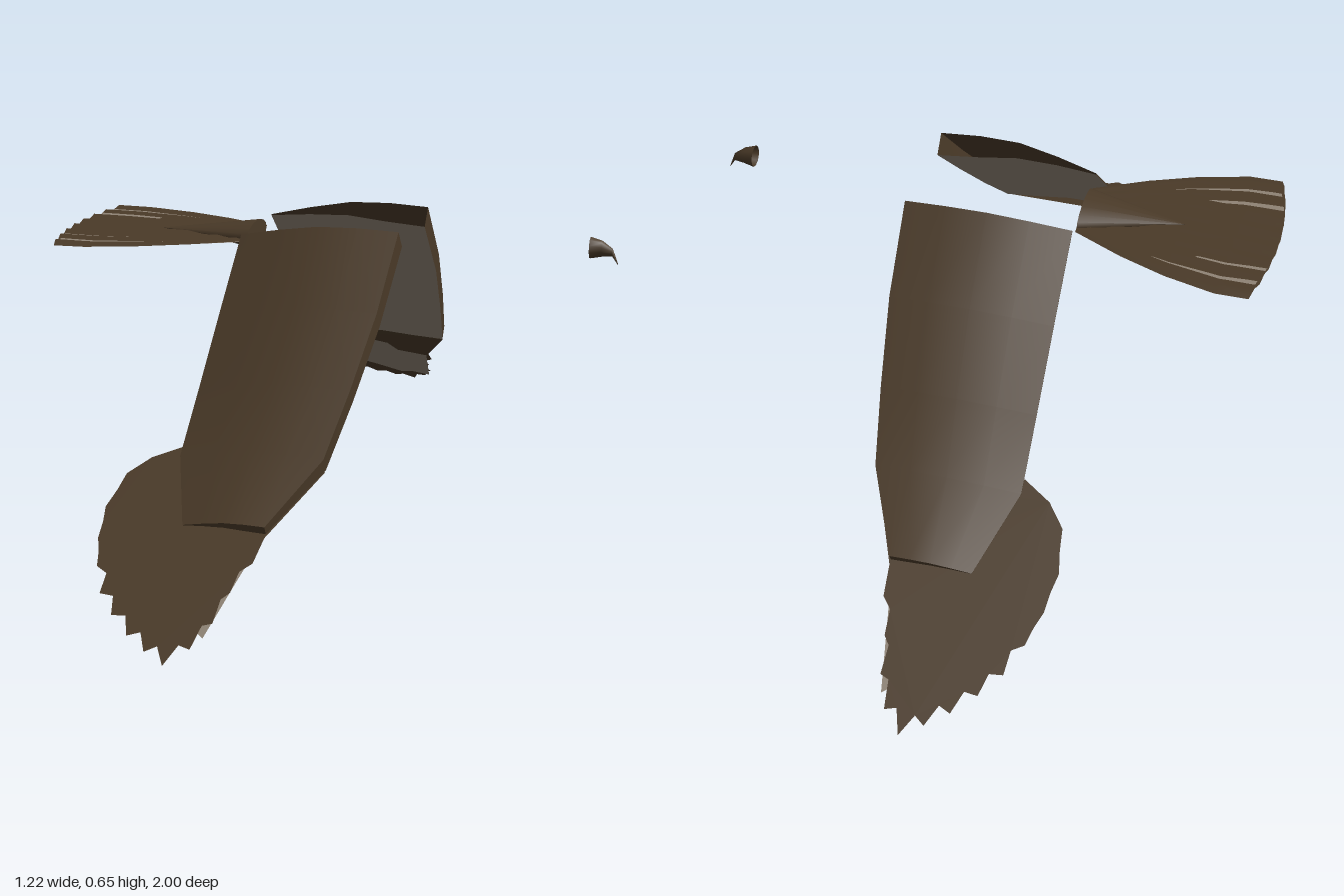
import * as THREE from 'three';

const brown = new THREE.MeshStandardMaterial({ name: 'brownPlumage', color: 0x4a3a28, side: THREE.DoubleSide });
const grey = new THREE.MeshStandardMaterial({ name: 'paleGreyUnderside', color: 0x8f8375, side: THREE.DoubleSide });

// Skin a surface through rows of points; closed rows wrap round
function loft(rows, closed = false) {
  const n = rows[0].length, index = [];
  for (let i = 0; i < rows.length - 1; i++) {
    for (let j = 0; j < (closed ? n : n - 1); j++) {
      const a = i * n + j, b = i * n + (j + 1) % n;
      index.push(a, b, a + n, b, b + n, a + n);
    }
  }
  const g = new THREE.BufferGeometry();
  g.setAttribute('position', new THREE.Float32BufferAttribute(rows.flat(2), 3));
  g.setIndex(index);
  g.computeVertexNormals();
  return g;
}

function add(parent, name, geometry, material) {
  const mesh = new THREE.Mesh(geometry, material);
  mesh.name = name;
  parent.add(mesh);
  return mesh;
}

// Flat plate from an (x, z) outline lying on the sloping hand plane
function handPlate(outline, drop) {
  const g = new THREE.ShapeGeometry(new THREE.Shape(outline.map(([x, z]) => new THREE.Vector2(x, z))));
  const p = g.attributes.position;
  for (let i = 0; i < p.count; i++) {
    const z = p.getY(i);
    p.setXYZ(i, p.getX(i), 0.158 - 0.51 * (z - 0.69) - drop, z);
  }
  g.computeVertexNormals();
  return g;
}

function makeWing(name) {
  const wing = new THREE.Group();
  wing.name = name;

  // Arm stations: z, y, leading x, trailing x, thickness, normal z, normal y
  const stations = [
    [0.105, 0.61, 0.165, -0.19, 0.052, 0.64, 0.77],
    [0.26, 0.475, 0.157, -0.19, 0.045, 0.64, 0.77],
    [0.40, 0.35, 0.137, -0.19, 0.04, 0.64, 0.77],
    [0.525, 0.242, 0.115, -0.19, 0.035, 0.56, 0.83],
    [0.69, 0.158, 0.04, -0.13, 0.02, 0.46, 0.89],
  ];
  const topCurve = [0.95, 1.05, 1, 0.65, 0.2];
  const underCurve = [0, 0.15, 0.35, 0.3, 0.15];
  const row = ([z, y, lead, trail, thick, nz, ny], curve) => curve.map((h, i) =>
    [lead + (trail - lead) * i / 4, y + h * thick * ny, z + h * thick * nz]);
  const tops = stations.map(s => row(s, topCurve));
  const unders = stations.map(s => row(s, underCurve));
  add(wing, 'wingTop', loft(tops), brown);
  add(wing, 'wingUnderside', loft(unders.slice(0, 4)), grey);
  add(wing, 'leadingEdge', loft(stations.map((s, i) => [unders[i][0], tops[i][0]])), brown);
  add(wing, 'trailingEdge', loft(stations.map((s, i) => [tops[i][4], unders[i][4]])), brown);
  add(wing, 'wristEnd', loft([tops[4], unders[4]]), brown);

  // Fan of flight feathers with a notch between neighbouring tips
  const tips = [[0.035, 0.76], [0.012, 0.83], [0, 0.9], [-0.025, 0.96], [-0.065, 1], [-0.11, 0.975],
    [-0.155, 0.945], [-0.2, 0.905], [-0.24, 0.86], [-0.268, 0.8], [-0.29, 0.735], [-0.302, 0.66], [-0.288, 0.575]];
  const outline = [[0.115, 0.53], [0.04, 0.70]];
  tips.forEach(([x, z], i) => {
    outline.push([x, z]);
    const next = tips[i + 1];
    if (!next) return;
    const pull = i < 9 ? 0.07 : 0.01;
    const mx = (x + next[0]) / 2, mz = (z + next[1]) / 2;
    outline.push([mx + (-0.1 - mx) * pull, mz + (0.6 - mz) * pull]);
  });
  outline.push([-0.25, 0.53], [-0.19, 0.495]);
  add(wing, 'flightFeathers', handPlate(outline, 0), brown);

  // Pale patch beneath the feathers
  const patch = [[-0.01, 0.93], [0.015, 0.8], [0.035, 0.70], [-0.03, 0.66], [-0.04, 0.59], [-0.1, 0.54],
    [-0.185, 0.51], [-0.19, 0.62], [-0.17, 0.7], [-0.18, 0.78], [-0.13, 0.84], [-0.08, 0.91], [-0.05, 0.9]];
  add(wing, 'featherUnderside', handPlate(patch, 0.004), grey);
  return wing;
}

// Pleated tail: rows run from the root to the rounded tip
function tailRows(drop, spread) {
  const stations = [[-0.19, 0.085, 0], [-0.3, 0.145, 0], [-0.4, 0.188, 0.002], [-0.51, 0.22, 0.006], [-0.58, 0.22, 0.03]];
  return stations.map(([x, half, bow], k) => Array.from({ length: 17 }, (_, j) => {
    const u = j / 8 - 1;
    const pleat = (j % 2 ? 1 : -1) * 0.0008 * (k + 1);
    return [x - bow * (1 - u * u), 0.598 + pleat - drop, u * half * spread];
  }));
}

function makeTail() {
  const tail = new THREE.Group();
  tail.name = 'tail';
  add(tail, 'tailFeathers', loft(tailRows(0, 1)), brown);
  add(tail, 'tailUnderside', loft(tailRows(0.004, 0.85)), grey);
  // Tapered root where the tail meets the body
  const cone = new THREE.ConeGeometry(1, 0.22, 16);
  cone.rotateZ(Math.PI / 2);
  cone.scale(1, 0.028, 0.072);
  add(tail, 'tailRoot', cone, brown).position.set(-0.30, 0.598, 0);
  return tail;
}

// Hooked beak: x, low y, high y, half width
function makeBeak() {
  const rings = [[0.55, 0.585, 0.632, 0.024], [0.575, 0.59, 0.625, 0.016], [0.597, 0.592, 0.609, 0.008], [0.61, 0.573, 0.576, 0.001]];
  return loft(rings.map(([x, lo, hi, w]) => Array.from({ length: 10 }, (_, i) => {
    const a = i / 10 * Math.PI * 2;
    return [x, (lo + hi) / 2 + Math.cos(a) * (hi - lo) / 2, Math.sin(a) * w];
  })), true);
}

export function createModel() {
  const bird = new THREE.Group();
  bird.name = 'birdParts';
  const near = makeWing('frontWing');
  const far = makeWing('backWing');
  far.scale.z = -1;
  bird.add(near, far, makeTail());
  add(bird, 'beak', makeBeak(), brown);
  return bird;
}
